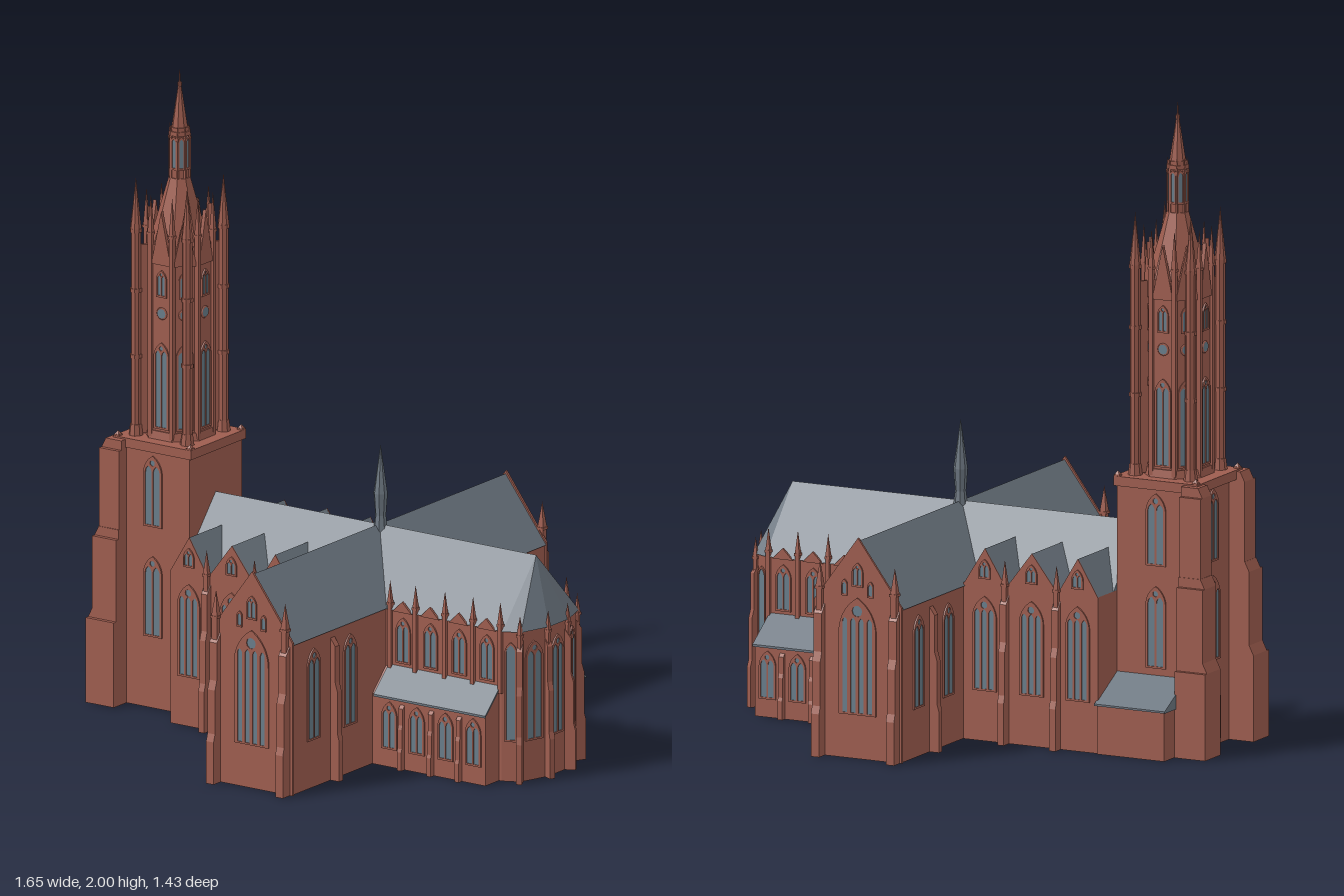
import * as THREE from 'three';

const material = (name, color) => {
  const m = new THREE.MeshStandardMaterial({ color, side: THREE.DoubleSide }); // walls and roofs are open below
  m.name = name;
  return m;
};
const PI = Math.PI;

export function createModel() {
  const brick = material('brick', 0x9e5d4f), slate = material('slate', 0x6c7680), glass = material('glass', 0x687d8a);
  const root = new THREE.Group();
  root.name = 'church';

  // ---- helpers ----
  const section = name => { const g = new THREE.Group(); g.name = name; root.add(g); return g; };
  const add = (parent, name, geo, mat) => {
    const m = new THREE.Mesh(geo, mat);
    m.name = name;
    parent.add(m);
    return m;
  };
  const box = (p, name, x0, x1, y0, y1, z0, z1) => {
    const m = add(p, name, new THREE.BoxGeometry(x1 - x0, y1 - y0, z1 - z0), brick);
    m.position.set((x0 + x1) / 2, (y0 + y1) / 2, (z0 + z1) / 2);
    return m;
  };
  const triangles = data => {
    const g = new THREE.BufferGeometry();
    g.setAttribute('position', new THREE.Float32BufferAttribute(data, 3));
    g.computeVertexNormals();
    return g;
  };
  // upright walls round a footprint of (x, z) points, without floor or ceiling
  const walls = (p, name, pts, h) => add(p, name, triangles(pts.flatMap(([ax, az], i) => {
    const [bx, bz] = pts[(i + 1) % pts.length];
    return [ax, 0, az, bx, 0, bz, bx, h, bz, ax, 0, az, bx, h, bz, ax, h, az];
  })), brick);
  const rect = (x0, x1, z0, z1) => [[x0, z1], [x1, z1], [x1, z0], [x0, z0]];
  // faceted column or cone with a flat side towards each axis
  const facet = (p, name, rTop, rBot, y0, y1, x = 0, z = 0, mat = brick, n = 8) => {
    const g = new THREE.CylinderGeometry(rTop, rBot, y1 - y0, n).rotateY(PI / n).toNonIndexed();
    g.computeVertexNormals();
    const m = add(p, name, g, mat);
    m.position.set(x, (y0 + y1) / 2, z);
  };
  const polygon = pts => new THREE.Shape(pts.map(q => new THREE.Vector2(q[0], q[1])));
  const extrude = (shape, depth) => new THREE.ExtrudeGeometry(shape, { depth, bevelEnabled: false, curveSegments: 5 });
  const alongZ = (p, name, pts, z0, z1, mat) => { // points are (x, y)
    add(p, name, extrude(polygon(pts), z1 - z0), mat).position.z = z0;
  };
  const alongX = (p, name, pts, x0, x1, mat) => { // points are (z, y)
    add(p, name, extrude(polygon(pts), x1 - x0).rotateY(-PI / 2), mat).position.x = x1;
  };
  const pinnacle = (p, x, z, w, y0, y1, tip) => {
    const r = w * 0.707;
    facet(p, 'pinnacleShaft', r, r, y0, y1, x, z, brick, 4);
    facet(p, 'pinnacleCollar', r * 1.35, r * 1.35, y1 - 0.008, y1, x, z, brick, 4);
    facet(p, 'pinnacleSpire', 0, r * 1.1, y1, tip, x, z, brick, 4);
  };
  // stepped buttress; turn 0 faces +z
  const buttress = (p, x, z, turn, d, w, h) => {
    const g = extrude(polygon([[-0.005, 0], [d, 0], [d, h * 0.28], [d * 0.8, h * 0.33], [d * 0.8, h * 0.62],
      [d * 0.55, h * 0.68], [d * 0.55, h * 0.93], [-0.005, h]]), w).translate(0, 0, -w / 2).rotateY(-PI / 2);
    const m = add(p, 'buttress', g, brick);
    m.position.set(x, 0, z);
    m.rotation.y = turn;
  };
  const lancet = (Kind, cx, y, w, h) => {
    const s = new Kind(), top = y + h - 0.866 * w;
    s.moveTo(cx - w / 2, y);
    s.lineTo(cx + w / 2, y);
    s.absarc(cx - w / 2, top, w, 0, PI / 3, false);
    s.absarc(cx + w / 2, top, w, PI * 2 / 3, PI, false);
    s.closePath();
    return s;
  };
  // pointed window: glass plate behind brick tracery with n lights
  const pointedWindow = (p, x, y, z, turn, w, h, n) => {
    const g = new THREE.Group();
    g.name = 'window';
    const bar = w * 0.09, lw = (w - bar * (n + 1)) / n, spring = h - 0.866 * w;
    const frame = lancet(THREE.Shape, 0, -0.003, w + 0.004, h + 0.006);
    for (let i = 0; i < n; i++) {
      const cx = -w / 2 + bar + lw / 2 + i * (lw + bar);
      frame.holes.push(lancet(THREE.Path, cx, 0.003, lw, n > 1 ? spring + 0.36 * w : h - 0.008));
    }
    if (n > 1) {
      const rose = new THREE.Path();
      rose.absarc(0, spring + 0.56 * w, 0.14 * w, 0, PI * 2, true);
      frame.holes.push(rose);
    }
    add(g, 'tracery', extrude(frame, 0.005), brick);
    add(g, 'glass', extrude(lancet(THREE.Shape, 0, 0, w, h), 0.002), glass);
    g.position.set(x, y, z);
    g.rotation.y = turn;
    p.add(g);
  };
  const roundel = (p, x, y, z, turn, r) => {
    const g = new THREE.Group();
    g.name = 'roundWindow';
    add(g, 'ring', new THREE.TorusGeometry(r, 0.004, 4, 12), brick);
    add(g, 'glass', new THREE.CylinderGeometry(r, r, 0.006, 12).rotateX(PI / 2), glass);
    g.position.set(x, y, z);
    g.rotation.y = turn;
    p.add(g);
  };

  // ---- nave with three cross-gabled bays a side ----
  const nave = section('nave');
  walls(nave, 'naveWalls', rect(-0.487, -0.02, -0.262, 0.237), 0.488);
  alongX(nave, 'naveRoof', [[-0.165, 0.485], [0.165, 0.485], [0, 0.68]], -0.487, 0.13, slate);
  const bays = [-0.487, -0.347, -0.168, -0.022];
  for (const [s, wall] of [[1, 0.24], [-1, 0.265]]) {
    const turn = s > 0 ? 0 : PI, span = (a, b) => [Math.min(s * a, s * b), Math.max(s * a, s * b)];
    for (let i = 0; i < 3; i++) {
      const a = bays[i], b = bays[i + 1], c = (a + b) / 2;
      alongZ(nave, 'bayRoof', [[a, 0.485], [b, 0.485], [c, 0.601]], ...span(0, wall - 0.002), slate);
      alongZ(nave, 'bayGable', [[a, 0], [b, 0], [b, 0.486], [c, 0.602], [a, 0.486]], ...span(wall - 0.003, wall), brick);
      pointedWindow(nave, c, 0.16, s * wall, turn, 0.08, 0.29, 3);
      pointedWindow(nave, c, 0.51, s * wall, turn, 0.036, 0.055, 2);
      if (i) {
        buttress(nave, a, s * wall, turn, 0.035, 0.022, 0.47);
        pinnacle(nave, a, s * (wall + 0.006), 0.015, 0.42, 0.5, 0.575);
      }
    }
  }

  // ---- transept ----
  const transept = section('transept');
  walls(transept, 'transeptWalls', rect(-0.02, 0.272, -0.67, 0.67), 0.48);
  alongZ(transept, 'transeptRoof', [[-0.026, 0.478], [0.278, 0.478], [0.126, 0.68]], -0.668, 0.668, slate);
  for (const s of [1, -1]) {
    const turn = s > 0 ? 0 : PI, z = s * 0.675;
    alongZ(transept, 'endGable', [[-0.026, 0], [0.278, 0], [0.278, 0.485], [0.126, 0.69], [-0.026, 0.485]],
      s > 0 ? 0.667 : -0.675, s > 0 ? 0.675 : -0.667, brick);
    pointedWindow(transept, 0.126, 0.14, z, turn, 0.125, 0.36, 4);
    pointedWindow(transept, 0.126, 0.54, z, turn, 0.034, 0.07, 2);
    for (const dx of [-0.045, 0.045]) pointedWindow(transept, 0.126 + dx, 0.51, z, turn, 0.016, 0.045, 1);
    for (const x of [-0.005, 0.254]) {
      buttress(transept, x, z, turn, 0.038, 0.028, 0.48);
      pinnacle(transept, x, s * 0.68, 0.019, 0.44, 0.53, 0.61);
    }
    for (const [x, t] of [[0.272, PI / 2], [-0.02, -PI / 2]]) {
      buttress(transept, x, s > 0 ? 0.455 : -0.472, t, 0.032, 0.022, 0.46);
      for (const wz of [0.365, 0.557]) pointedWindow(transept, x, 0.155, s * wz, t, 0.065, 0.285, 2);
    }
  }

  // ---- slender spirelet over the crossing ----
  const spirelet = section('crossingSpirelet');
  facet(spirelet, 'spireletBase', 0.017, 0.024, 0.65, 0.71, 0.13, 0, slate);
  facet(spirelet, 'spireletBody', 0.022, 0.017, 0.71, 0.78, 0.13, 0, slate);
  facet(spirelet, 'spireletTip', 0, 0.022, 0.78, 0.935, 0.13, 0, slate);

  // ---- choir and polygonal apse ----
  const choir = section('choir');
  const rim = [[0.705, 0.172], [0.757, 0.148], [0.79, 0.05], [0.79, -0.05], [0.757, -0.148], [0.705, -0.172]];
  walls(choir, 'choirWalls', [[0.272, 0.172], ...rim, [0.272, -0.172]], 0.48);
  alongX(choir, 'choirRoof', [[-0.178, 0.478], [0.178, 0.478], [0, 0.68]], 0.13, 0.712, slate);
  const eaves = rim.map(([x, z]) => [x + 0.007, 0.478, z * 1.035]);
  add(choir, 'apseRoof', triangles(eaves.slice(1).flatMap((e, i) => [0.712, 0.68, 0, ...eaves[i], ...e])), slate);
  for (let i = 0; i < 5; i++) {
    const [ax, az] = rim[i], [bx, bz] = rim[i + 1], len = Math.hypot(bx - ax, bz - az);
    pointedWindow(choir, (ax + bx) / 2, 0.13, (az + bz) / 2, Math.atan2(az - bz, bx - ax),
      Math.min(0.066, len * 0.6), 0.31, len > 0.08 ? 2 : 1);
  }
  for (const [x, z] of rim.slice(1, 5)) {
    const t = Math.atan2(x - 0.68, z);
    buttress(choir, x, z, t, 0.03, 0.018, 0.45);
    pinnacle(choir, x + Math.sin(t) * 0.004, z + Math.cos(t) * 0.004, 0.013, 0.4, 0.47, 0.53);
  }
  const piers = [0.29, 0.385, 0.495, 0.6, 0.702];
  for (const [s, wall] of [[1, 0.245], [-1, 0.275]]) {
    const turn = s > 0 ? 0 : PI;
    // low side aisle with lean-to roof
    walls(choir, 'choirAisle', rect(0.272, 0.695, s > 0 ? 0.172 : -wall, s > 0 ? wall : -0.172), 0.225);
    alongX(choir, 'aisleGable', [[s * 0.165, 0.222], [s * wall, 0.222], [s * 0.17, 0.297]], 0.272, 0.695, brick);
    alongX(choir, 'aisleRoof', [[s * (wall + 0.008), 0.218], [s * (wall + 0.008), 0.225],
      [s * 0.17, 0.304], [s * 0.17, 0.296]], 0.282, 0.7, slate);
    piers.forEach((x, i) => {
      pinnacle(choir, x, s * 0.175, 0.013, 0.28, 0.5, 0.57);
      if (i > 0 && i < 4) buttress(choir, x, s * wall, turn, 0.018, 0.016, 0.21);
      if (i === 4) return;
      const c = (x + piers[i + 1]) / 2;
      pointedWindow(choir, c, 0.06, s * wall, turn, 0.054, 0.145, 2);
      pointedWindow(choir, c, 0.315, s * 0.172, turn, 0.05, 0.14, 2);
      alongZ(choir, 'eavesGablet', [[c - 0.035, 0.475], [c + 0.035, 0.475], [c, 0.51]], s * 0.176 - 0.004, s * 0.176 + 0.004, brick);
    });
  }

  // ---- shed beside the tower ----
  const shed = section('shed');
  walls(shed, 'shedWalls', rect(-0.72, -0.487, -0.272, -0.14), 0.155);
  alongX(shed, 'shedRoof', [[-0.13, 0.152], [-0.28, 0.152], [-0.28, 0.158], [-0.14, 0.235], [-0.13, 0.235]], -0.726, -0.482, slate);

  // ---- tower base ----
  const tower = section('tower');
  tower.position.x = -0.622;
  walls(tower, 'towerBase', rect(-0.12, 0.135, -0.14, 0.14), 0.82);
  box(tower, 'cornice', -0.147, 0.145, 0.815, 0.845, -0.146, 0.146);
  for (const sx of [-1, 1]) for (const sz of [-1, 1]) pinnacle(tower, sx * 0.135, sz * 0.135, 0.014, 0.84, 0.85, 0.862);
  for (const s of [-1, 1]) {
    // tall corner buttresses in three stages, each with a sloped cap
    [[0, 0.27, 0.205, 0.208], [0.27, 0.53, 0.19, 0.195], [0.53, 0.81, 0.174, 0.18]].forEach(([y0, y1, d, w]) => {
      box(tower, 'cornerButtress', -d, -0.1, y0, y1, s > 0 ? 0.107 : -w, s > 0 ? w : -0.107);
      alongZ(tower, 'buttressCap', [[-d, y1], [-0.1, y1], [-0.1, y1 + 0.03], [-d + 0.015, y1 + 0.03]],
        s > 0 ? 0.107 : -w + 0.013, s > 0 ? w - 0.013 : -0.107, brick);
    });
    const turn = s > 0 ? 0 : PI;
    pointedWindow(tower, 0, s > 0 ? 0.23 : 0.26, s * 0.14, turn, 0.065, 0.25, 2);
    pointedWindow(tower, 0, 0.58, s * 0.14, turn, 0.065, 0.22, 2);
  }
  pointedWindow(tower, -0.12, 0.02, 0, -PI / 2, 0.09, 0.19, 2);
  pointedWindow(tower, -0.12, 0.27, 0, -PI / 2, 0.09, 0.26, 3);
  pointedWindow(tower, -0.12, 0.58, 0, -PI / 2, 0.065, 0.22, 2);

  // ---- octagonal belfry ----
  const apothem = 0.094, corner = apothem / Math.cos(PI / 8);
  facet(tower, 'belfry', corner, corner, 0.84, 1.46);
  facet(tower, 'belfryPlinth', corner + 0.006, corner + 0.012, 0.84, 0.87);
  facet(tower, 'crownRoof', 0.034, corner - 0.01, 1.46, 1.66);
  for (let i = 0; i < 8; i++) {
    const a = i * PI / 4, sx = Math.sin(a), cz = Math.cos(a), b = a + PI / 8;
    const at = y => [sx * apothem, y, cz * apothem, a];
    pointedWindow(tower, ...at(0.88), 0.052, 0.27, 2);
    roundel(tower, ...at(1.245), 0.016);
    pointedWindow(tower, ...at(1.3), 0.034, 0.08, 2);
    const gable = add(tower, 'crownGable', extrude(polygon([[-0.036, 1.4], [0.036, 1.4], [0, 1.57]]), 0.012), brick);
    gable.position.set(sx * 0.087, 0, cz * 0.087);
    gable.rotation.y = a;
    pinnacle(tower, Math.sin(b) * 0.104, Math.cos(b) * 0.104, 0.014, 0.85, 1.5, 1.62);
    // lantern lights and posts
    pointedWindow(tower, sx * 0.027, 1.69, cz * 0.027, a, 0.016, 0.1, 1);
    pinnacle(tower, Math.sin(b) * 0.031, Math.cos(b) * 0.031, 0.006, 1.66, 1.79, 1.83);
  }
  // corner turrets tied to the belfry by thin fins
  for (const x of [-0.096, 0.096]) for (const z of [-0.096, 0.096]) {
    const fx = x * 0.85, fz = z * 0.85;
    box(tower, 'turretFin', fx - 0.006, fx + 0.006, 0.85, 1.45, fz - 0.025, fz + 0.025).rotation.y = Math.atan2(x, z);
    facet(tower, 'turretFoot', 0.018, 0.023, 0.84, 0.88, x, z);
    facet(tower, 'turretShaft', 0.016, 0.016, 0.88, 1.5, x, z);
    for (const y of [1.09, 1.3, 1.49]) facet(tower, 'turretBand', 0.019, 0.019, y, y + 0.012, x, z);
    facet(tower, 'turretSpire', 0, 0.018, 1.502, 1.665, x, z);
  }
  // ---- lantern and spire ----
  facet(tower, 'lantern', 0.0292, 0.0292, 1.64, 1.82);
  facet(tower, 'lanternCornice', 0.034, 0.034, 1.795, 1.808);
  facet(tower, 'spire', 0.003, 0.027, 1.808, 1.965);
  facet(tower, 'finialKnob', 0.007, 0.007, 1.95, 1.96);
  facet(tower, 'finial', 0.001, 0.003, 1.965, 2);
  return root;
}
